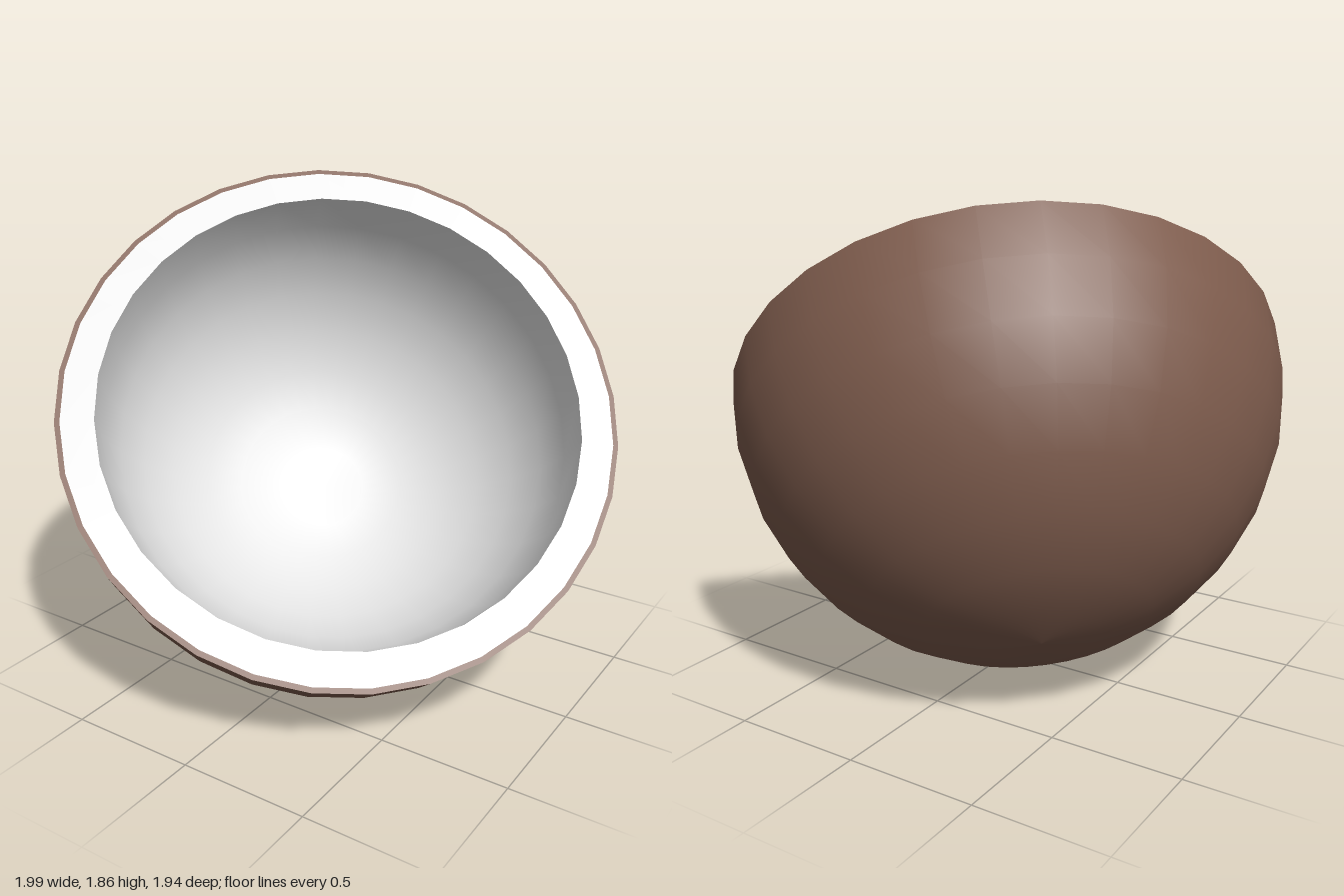
import * as THREE from 'three';

// Half a hollow nut: a brown husk around thick pale flesh, tipped towards +x +z.
export function createModel() {
  const group = new THREE.Group();
  group.name = 'halfShell';
  const husk = new THREE.MeshStandardMaterial({ color: 0x7e5c4d });
  husk.name = 'husk brown';
  const flesh = new THREE.MeshStandardMaterial({ color: 0xeaeaea });
  flesh.name = 'flesh white';

  const outer = 1.065, inner = 0.92, skin = 0.02, lift = 0.012;

  // Quarter circle from the pole up to the rim
  const quarter = (radius, rimY) => Array.from({ length: 9 }, (_, i) => {
    const a = (i / 8) * Math.PI / 2;
    return new THREE.Vector2(radius * Math.sin(a), rimY - radius * Math.cos(a));
  });
  const turn = (name, points, material) => {
    const mesh = new THREE.Mesh(new THREE.LatheGeometry(points, 32), material);
    mesh.name = name;
    group.add(mesh);
  };
  const p = (x, y) => new THREE.Vector2(x, y);

  turn('outerHusk', quarter(outer, 0), husk);
  turn('huskEdge', [p(outer, 0), p(outer - skin, 0.002)], husk);
  turn('fleshRim', [p(outer - skin, 0.002), p(inner, lift)], flesh);
  turn('cavity', quarter(inner, lift).reverse(), flesh);

  // Point the opening up, forward and to the model's left
  const axis = new THREE.Vector3(0.49, 0.666, 0.56).normalize();
  const side = new THREE.Vector3(0, 1, 0).cross(axis).normalize();
  const depth = side.clone().cross(axis);
  group.quaternion.setFromRotationMatrix(new THREE.Matrix4().makeBasis(side, axis, depth));
  group.position.set(0.063, 1.063, 0.088);

  const model = new THREE.Group();
  model.name = 'model';
  model.add(group);
  return model;
}
